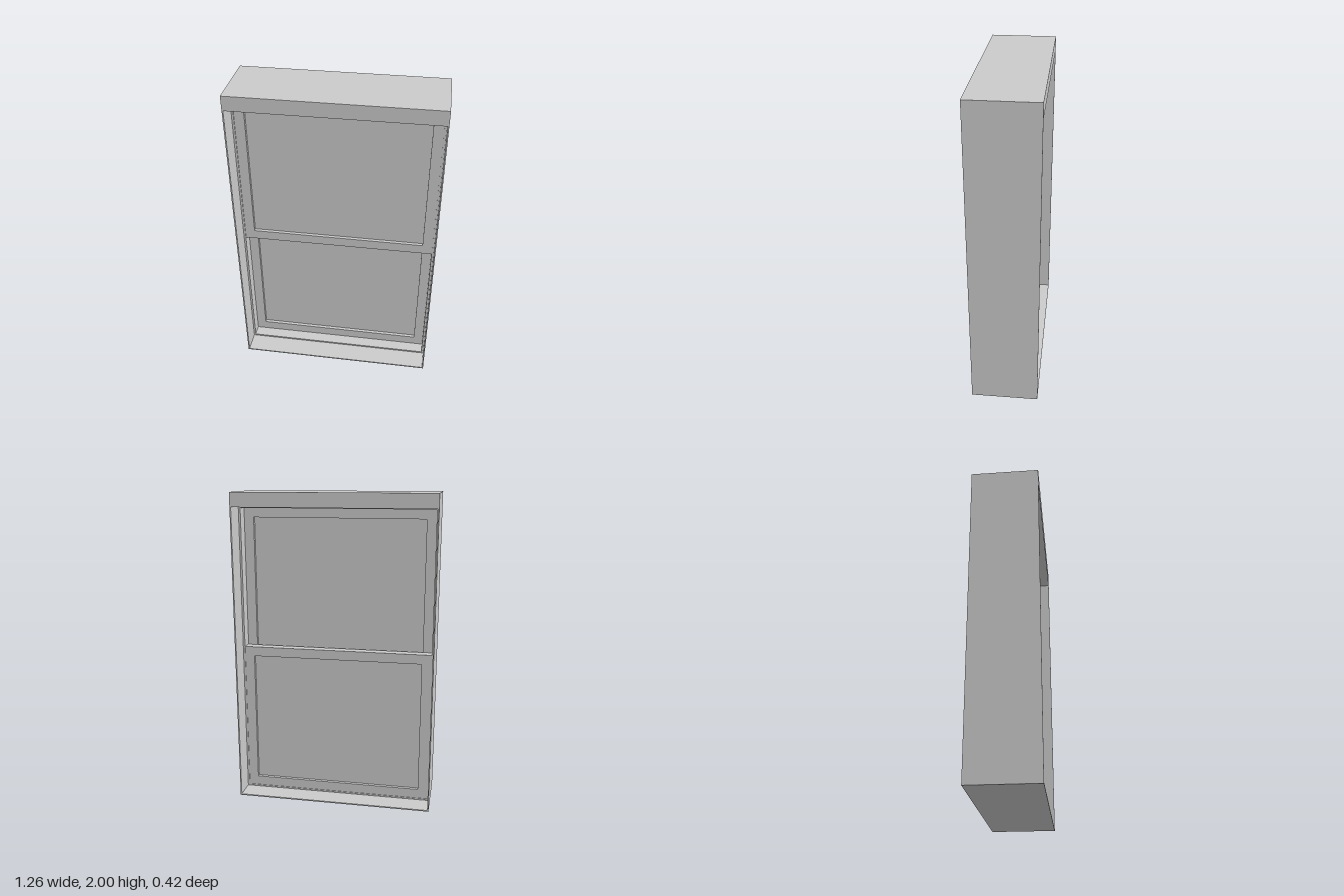
import * as THREE from 'three';

const material = new THREE.MeshStandardMaterial({ color: 0xcccccc, flatShading: true });

// Rectangular ring, extruded along z from z0 to z1; bounds are [left, right, bottom, top]
function ring(name, outer, inner, z0, z1) {
  const corners = ([l, r, b, t]) => [[l, b], [r, b], [r, t], [l, t]].map(([x, y]) => new THREE.Vector2(x, y));
  const shape = new THREE.Shape(corners(outer));
  shape.holes.push(new THREE.Path(corners(inner).reverse()));
  const geometry = new THREE.ExtrudeGeometry(shape, { depth: z1 - z0, bevelEnabled: false });
  geometry.translate(0, 0, z0);
  const mesh = new THREE.Mesh(geometry, material);
  mesh.name = name;
  return mesh;
}

// Sliding sash: a frame of stiles and rails around a recessed pane
function sash(name, bottom, z0, z1) {
  const group = new THREE.Group();
  group.name = name;
  const halfWidth = 0.612, height = 0.985, rail = 0.062;
  const w = halfWidth - rail, b = bottom + rail, t = bottom + height - rail;
  group.add(ring('sashFrame', [-halfWidth, halfWidth, bottom, bottom + height], [-w, w, b, t], z0, z1));

  const pane = new THREE.Mesh(new THREE.BoxGeometry(2 * w, t - b, 0.02), material);
  pane.name = 'pane';
  pane.position.set(0, (b + t) / 2, (z0 + z1) / 2);
  group.add(pane);
  return group;
}

export function createModel() {
  const model = new THREE.Group();
  model.name = 'sashWindow';

  // Deep outer casing with thin jambs and sill and a tall head
  model.add(ring('casing', [-0.632, 0.632, 0, 2], [-0.624, 0.624, 0.008, 1.91], -0.211, 0.211));

  // Raised track that holds both sashes
  model.add(ring('track', [-0.624, 0.624, 0.008, 1.91], [-0.612, 0.612, 0.018, 1.9], -0.072, 0.072));

  // Upper sash slides in front, lower sash behind
  model.add(sash('upperSash', 0.915, 0.003, 0.066));
  model.add(sash('lowerSash', 0.018, -0.068, -0.005));

  return model;
}
